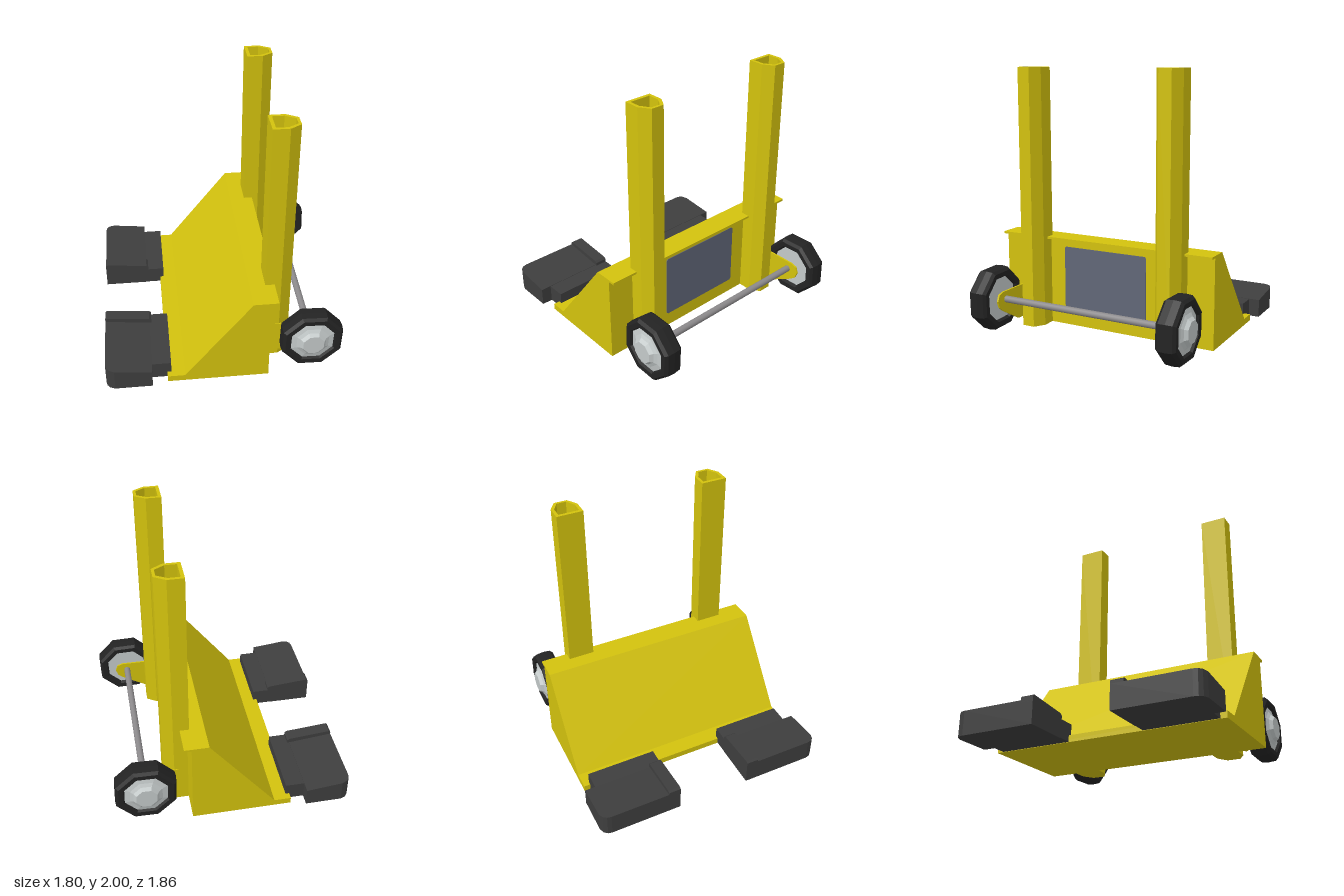
import * as THREE from 'three';

const mat = (name, color) => {
  const m = new THREE.MeshStandardMaterial({ color });
  m.name = name;
  return m;
};

const toShape = (pts) => new THREE.Shape(pts.map(([x, y]) => new THREE.Vector2(x, y)));

// Side profile (x, y) extruded from z0 to z1
function sideExtrude(pts, z0, z1) {
  const g = new THREE.ExtrudeGeometry(toShape(pts), { depth: z1 - z0, bevelEnabled: false });
  return g.translate(0, 0, z0);
}

// Plan outline (x, -z) extruded upward from y0 to y1
function planExtrude(shape, y0, y1) {
  const g = new THREE.ExtrudeGeometry(shape, { depth: y1 - y0, bevelEnabled: false });
  return g.rotateX(-Math.PI / 2).translate(0, y0, 0);
}

// Eight-sided faceted lathe turned about z
function octLathe(pts) {
  const profile = pts.map(([r, y]) => new THREE.Vector2(r, y));
  const g = new THREE.LatheGeometry(profile, 8, Math.PI / 8 - 0.03).toNonIndexed();
  g.computeVertexNormals();
  return g.rotateX(Math.PI / 2);
}

export function createModel() {
  const model = new THREE.Group();
  model.name = 'wheeledStand';

  const yellow = mat('yellowPaint', 0xd3c20d);
  const slate = mat('slatePanel', 0x616778);
  const rubber = mat('tyreRubber', 0x232323);
  const charcoal = mat('charcoalFoot', 0x3e3e3e);
  const silver = mat('silverHub', 0xc4caca);
  const steel = mat('axleSteel', 0x8c8a8c);

  const add = (name, geometry, material, parent = model) => {
    const m = new THREE.Mesh(geometry, material);
    m.name = name;
    parent.add(m);
    return m;
  };

  // Wedge body with a front lip and an overhanging top edge
  add('body', sideExtrude([
    [-0.44, 0], [0.325, 0], [0.325, 0.683], [0.38, 0.683], [0.38, 0.7],
    [0.195, 0.7], [-0.31, 0.05], [-0.44, 0.05],
  ], -0.895, 0.895), yellow);

  // Slate panel with clipped corners on the upright face
  const panel = toShape([
    [-0.34, -0.255], [0.34, -0.255], [0.352, -0.243], [0.352, 0.243],
    [0.34, 0.255], [-0.34, 0.255], [-0.352, 0.243], [-0.352, -0.243],
  ]);
  const panelGeo = new THREE.ExtrudeGeometry(panel, { depth: 0.006, bevelEnabled: false });
  panelGeo.rotateY(Math.PI / 2).translate(0.324, 0.37, 0);
  add('panel', panelGeo, slate);

  // Hollow column outlines
  const outer = [[0.31, -0.102], [0.43, -0.102], [0.512, -0.05], [0.512, 0.05], [0.43, 0.102], [0.31, 0.102]];
  const inner = [[0.335, -0.079], [0.42, -0.079], [0.492, -0.036], [0.492, 0.036], [0.42, 0.079], [0.335, 0.079]];

  // Axle across the two wheels
  const axleX = 0.664, axleY = 0.247;
  const axle = new THREE.CylinderGeometry(0.026, 0.026, 1.44, 16);
  axle.rotateX(Math.PI / 2).translate(axleX, axleY, 0);
  add('axle', axle, steel);

  for (const s of [1, -1]) {
    const side = s > 0 ? 'left' : 'right';

    // Column: open tube on a solid foot
    const tube = toShape(outer);
    tube.holes.push(new THREE.Path(inner.map(([x, y]) => new THREE.Vector2(x, y))));
    add(side + 'Column', planExtrude(tube, 0.05, 2), yellow).position.z = s * 0.582;
    add(side + 'ColumnFoot', planExtrude(toShape(outer), 0, 0.05), yellow).position.z = s * 0.582;

    // Thin axle bracket tapering from column to axle
    add(side + 'Bracket', sideExtrude([
      [0.4, 0.05], [0.51, 0.05], [0.7, 0.16], [0.745, 0.195], [0.764, 0.247],
      [0.745, 0.295], [0.7, 0.31], [0.4, 0.31],
    ], s * 0.683 - 0.007, s * 0.683 + 0.007), yellow);

    // Wheel: octagonal tyre with a faceted hub
    const wheel = new THREE.Group();
    wheel.name = side + 'Wheel';
    wheel.position.set(axleX, axleY, s * 0.777);
    if (s < 0) wheel.rotation.x = Math.PI;
    model.add(wheel);
    add('tyre', octLathe([
      [0.172, -0.05], [0.185, -0.075], [0.225, -0.077], [0.245, -0.055], [0.25, 0],
      [0.245, 0.055], [0.225, 0.077], [0.185, 0.075], [0.172, 0.05], [0.172, -0.05],
    ]), rubber, wheel);
    add('hub', octLathe([
      [0, -0.05], [0.176, -0.05], [0.176, 0.055], [0.132, 0.066],
      [0.105, 0.08], [0.085, 0.105], [0, 0.105],
    ]), silver, wheel);

    // Foot: sloped main pad with a rounded outer corner
    const foot = new THREE.Group();
    foot.name = side + 'Foot';
    model.add(foot);
    const pad = planExtrude(toShape([
      [-0.555, 0.29], [-0.555, 0.928], [-0.835, 0.928], [-0.875, 0.912],
      [-0.895, 0.887], [-0.902, 0.855], [-0.902, 0.29],
    ].map(([x, z]) => [x, -s * z])), 0, 1);
    const p = pad.attributes.position;
    for (let i = 0; i < p.count; i++) {
      if (p.getY(i) > 0.5) p.setY(i, 0.14 + (-0.555 - p.getX(i)) * 0.11);
    }
    pad.computeVertexNormals();
    add('pad', pad, charcoal, foot);

    // Raised ridge along the inner edge
    const z0 = s > 0 ? 0.29 : -0.387;
    add('ridge', sideExtrude([
      [-0.902, 0.1], [-0.54, 0.1], [-0.54, 0.163], [-0.556, 0.177],
      [-0.888, 0.208], [-0.902, 0.196],
    ], z0, z0 + 0.097), charcoal, foot);

    // Heel block resting over the body lip
    const heel = new THREE.BoxGeometry(0.16, 0.135, 0.555);
    add('heel', heel.translate(-0.49, 0.07, s * 0.5675), charcoal, foot);
  }

  return model;
}
